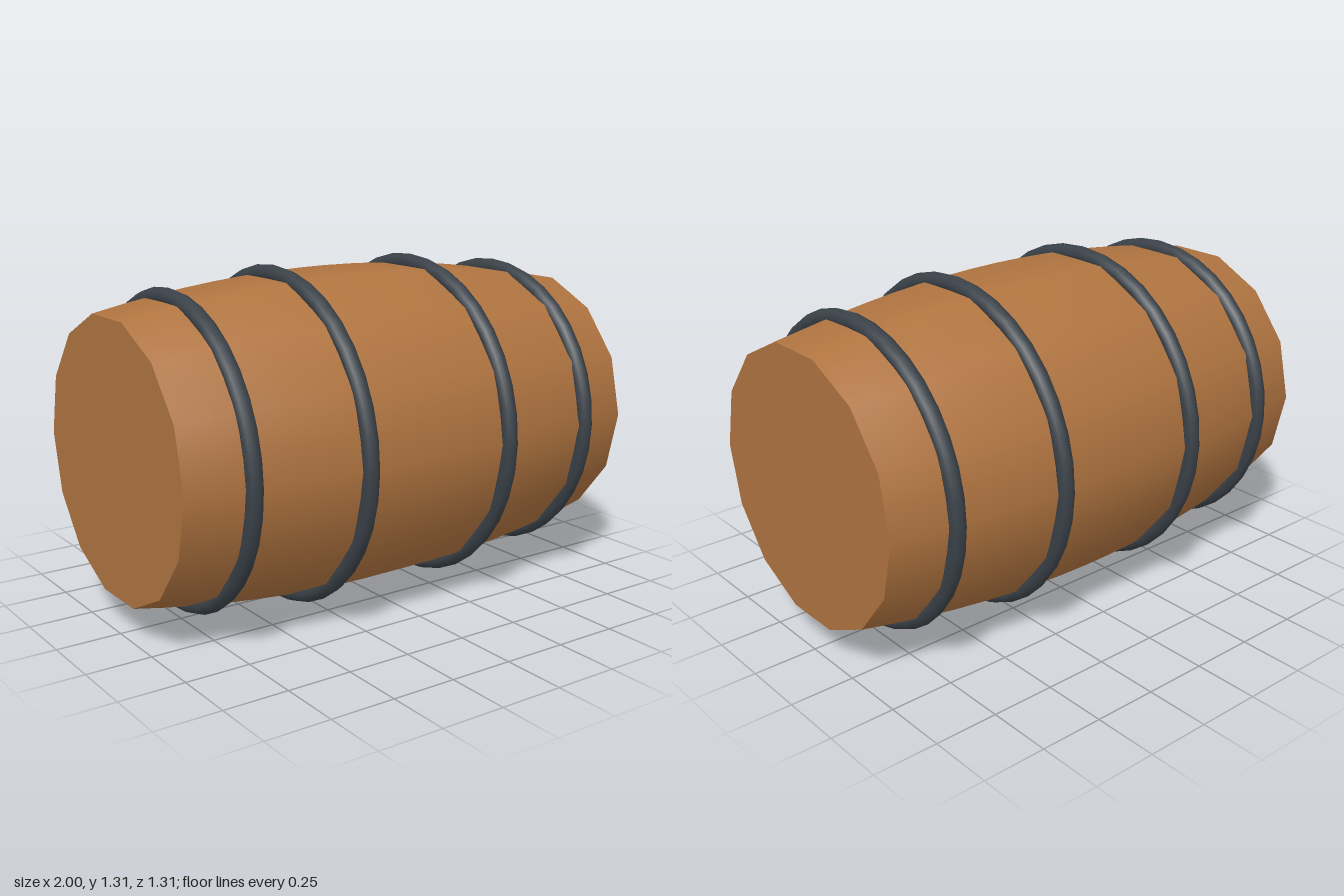
import * as THREE from 'three';

const SIDES = 14;        // facets around the barrel
const END_RADIUS = 0.53;
const MID_RADIUS = 0.63;
const AXIS_HEIGHT = 0.654;

export function createModel() {
  const wood = new THREE.MeshStandardMaterial({ color: 0xb07440 });
  wood.name = 'wood';
  const iron = new THREE.MeshStandardMaterial({ color: 0x3a4249 });
  iron.name = 'iron';

  const barrel = new THREE.Group();
  barrel.name = 'barrel';
  const add = (name, geometry, material, x = 0) => {
    const mesh = new THREE.Mesh(geometry, material);
    mesh.name = name;
    mesh.position.set(x, AXIS_HEIGHT, 0);
    barrel.add(mesh);
  };

  // Bulging staves: a parabolic profile turned around the x axis
  const profile = [];
  for (let i = 0; i <= 16; i++) {
    const t = -1 + i / 8;
    profile.push(new THREE.Vector2(MID_RADIUS - (MID_RADIUS - END_RADIUS) * t * t, t));
  }
  add('staves', new THREE.LatheGeometry(profile, SIDES).rotateZ(-Math.PI / 2), wood);

  // Flat heads and two hoops on each half
  for (const [side, label] of [[1, 'left'], [-1, 'right']]) {
    const head = new THREE.CircleGeometry(END_RADIUS, SIDES).rotateY(side * Math.PI / 2);
    add(label + 'Head', head, wood, side);
    for (const [name, x, radius] of [['InnerHoop', 0.32, 0.621], ['OuterHoop', 0.76, 0.571]]) {
      const hoop = new THREE.TorusGeometry(radius, 0.032, 8, 36).rotateY(Math.PI / 2);
      add(label + name, hoop, iron, side * x);
    }
  }
  return barrel;
}
